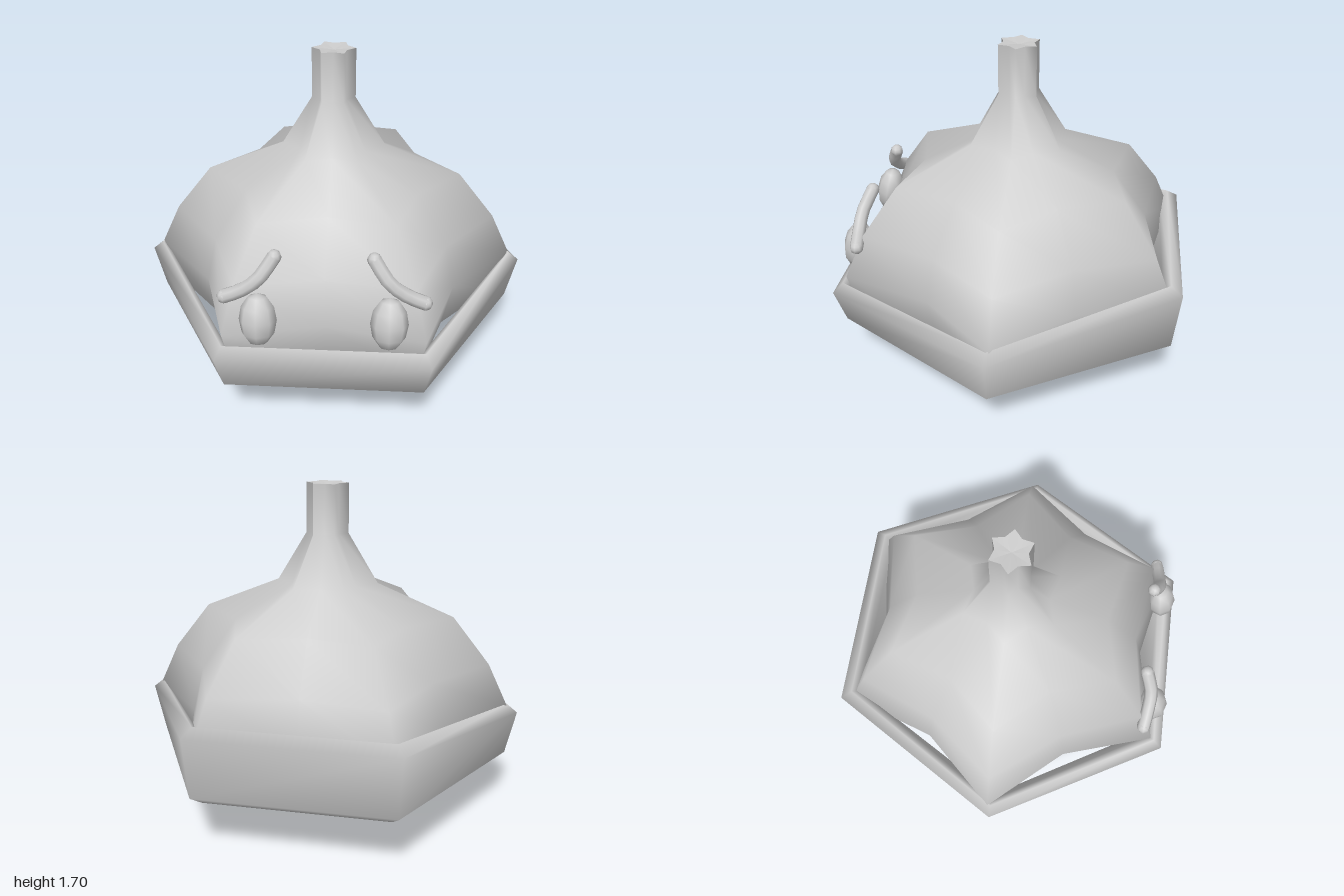
import * as THREE from 'three';

const material = new THREE.MeshStandardMaterial({ color: 0xcccccc });

// Smooth skin over rings of points; rings wrap around, and optionally join end to end.
function loft(rings, closed = false) {
  const n = rings[0].length, index = [];
  const rows = closed ? rings.length : rings.length - 1;
  for (let j = 0; j < rows; j++) {
    const k = (j + 1) % rings.length;
    for (let i = 0; i < n; i++) {
      const m = (i + 1) % n;
      const a = j * n + i, b = k * n + i, c = k * n + m, d = j * n + m;
      index.push(a, b, c, a, c, d);
    }
  }
  const geometry = new THREE.BufferGeometry();
  geometry.setAttribute('position', new THREE.Float32BufferAttribute(rings.flat(2), 3));
  geometry.setIndex(index);
  geometry.computeVertexNormals();
  return geometry;
}

function addMesh(parent, name, geometry) {
  const mesh = new THREE.Mesh(geometry, material);
  mesh.name = name;
  parent.add(mesh);
  return mesh;
}

// Six-lobed bulb: [ridge radius, valley radius, ridge y, valley y]
function bulbGeometry() {
  const profile = [
    [0, 0, 0.2, 0.2],
    [0.57, 0.46, 0.17, 0.19],
    [0.74, 0.57, 0.26, 0.26],
    [0.88, 0.67, 0.34, 0.34],
    [0.945, 0.72, 0.58, 0.58],
    [0.84, 0.665, 0.8, 0.8],
    [0.65, 0.49, 1.04, 1.04],
    [0.26, 0.19, 1.2, 1.2],
    [0.108, 0.075, 1.45, 1.45],
    [0.108, 0.075, 1.7, 1.7],
    [0.108, 0.075, 1.7, 1.7], // repeated for a sharp stem rim
    [0, 0, 1.69, 1.69],
  ];
  return loft(profile.map(([ridge, valley, ridgeY, valleyY]) =>
    Array.from({ length: 12 }, (_, i) => {
      const a = i * Math.PI / 6, r = i % 2 ? valley : ridge;
      return [r * Math.cos(a), i % 2 ? valleyY : ridgeY, r * Math.sin(a) - 0.015];
    })));
}

// Hexagonal band, taller and higher towards the back; sections are [radius, y]
function bandGeometry() {
  const front = [[1, 0.49], [0.945, 0.31], [0.86, 0.27], [0.84, 0.32], [0.9, 0.5], [0.945, 0.54]];
  const side = [[1, 0.54], [0.95, 0.31], [0.88, 0.255], [0.85, 0.31], [0.91, 0.54], [0.945, 0.585]];
  const back = [[1, 0.65], [0.97, 0.34], [0.9, 0.29], [0.87, 0.35], [0.89, 0.64], [0.935, 0.69]];
  const corners = [side, front, front, side, back, back];
  return loft(corners.map((section, i) => {
    const a = i * Math.PI / 3;
    return section.map(([r, y]) => [r * Math.cos(a), y, r * Math.sin(a) * 1.01]);
  }), true);
}

// Pointed foot: [centre x, y, half width x, half width z]
function footGeometry(side) {
  const profile = [
    [0.315, 0, 0, 0],
    [0.315, 0, 0.035, 0.03],
    [0.34, 0.06, 0.09, 0.115],
    [0.395, 0.195, 0.175, 0.22],
  ];
  return loft(profile.map(([x, y, rx, rz]) =>
    Array.from({ length: 8 }, (_, i) => {
      const a = i * Math.PI / 4;
      return [side * x + rx * Math.cos(a), y, rz * Math.sin(a) - 0.01];
    })));
}

export function createModel() {
  const model = new THREE.Group();
  model.name = 'bulbCreature';

  addMesh(model, 'bulbBody', bulbGeometry());
  addMesh(model, 'hexagonalBand', bandGeometry());

  for (const side of [1, -1]) {
    const label = side > 0 ? 'left' : 'right';
    addMesh(model, label + 'Foot', footGeometry(side));

    // Eye leaning back with the slope of the bulb
    const eye = addMesh(model, label + 'Eye', new THREE.SphereGeometry(1, 8, 6));
    eye.scale.set(0.088, 0.13, 0.075);
    eye.position.set(side * 0.3, 0.67, 0.785);
    eye.rotation.x = -0.18;

    // Curved eyebrow with rounded ends
    const brow = new THREE.Group();
    brow.name = label + 'Eyebrow';
    const points = [[0.225, 0.96, 0.705], [0.295, 0.865, 0.745], [0.375, 0.8, 0.745], [0.46, 0.757, 0.735]]
      .map(([x, y, z]) => new THREE.Vector3(side * x, y, z));
    const curve = new THREE.CatmullRomCurve3(points);
    addMesh(brow, 'browBar', new THREE.TubeGeometry(curve, 6, 0.034, 8));
    for (const end of [points[0], points[3]]) {
      addMesh(brow, 'browEnd', new THREE.SphereGeometry(0.034, 8, 6)).position.copy(end);
    }
    model.add(brow);
  }
  return model;
}
